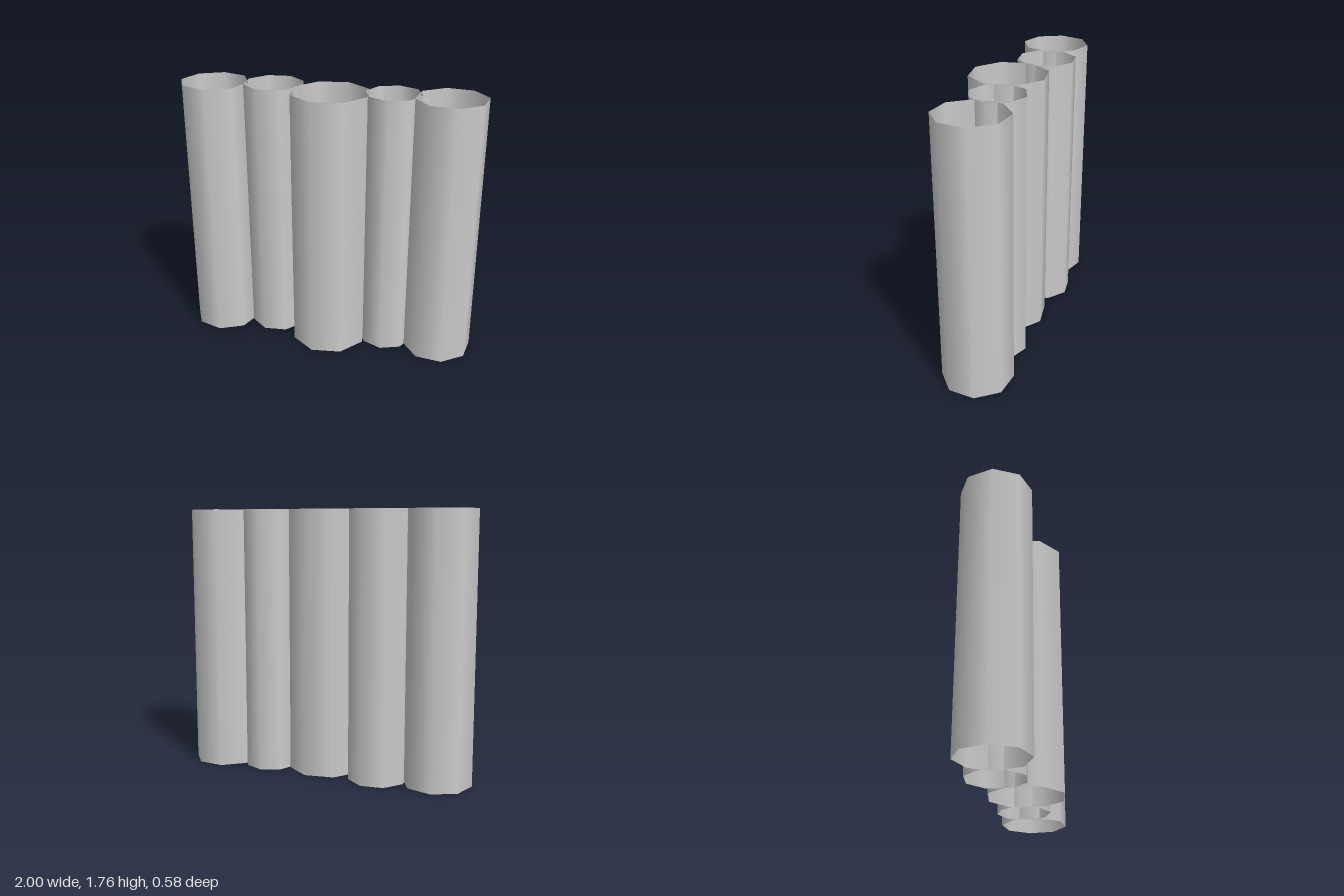
import * as THREE from 'three';

const HEIGHT = 1.765;

export function createModel() {
  const group = new THREE.Group();
  group.name = 'tubeRow';
  const material = new THREE.MeshStandardMaterial({ color: 0xcccccc, side: THREE.DoubleSide });

  // Upright eight-sided tube, open at both ends; turn runs from +x towards +z
  function addTube(name, x, z, radius, turn) {
    const start = -THREE.MathUtils.degToRad(turn);
    const geometry = new THREE.CylinderGeometry(radius, radius, HEIGHT, 8, 1, true, start);
    const tube = new THREE.Mesh(geometry, material);
    tube.name = name;
    tube.position.set(x, HEIGHT / 2, z);
    group.add(tube);
  }

  // Three wide tubes with two narrower ones overlapping between them
  addTube('rightEndTube', -0.774, -0.062, 0.227, -2);
  addTube('rightNarrowTube', -0.384, -0.097, 0.198, 19);
  addTube('centreTube', 0.019, 0.042, 0.259, 17);
  addTube('leftNarrowTube', 0.414, -0.013, 0.182, 4);
  addTube('leftEndTube', 0.776, 0.022, 0.23, -13);

  return group;
}
